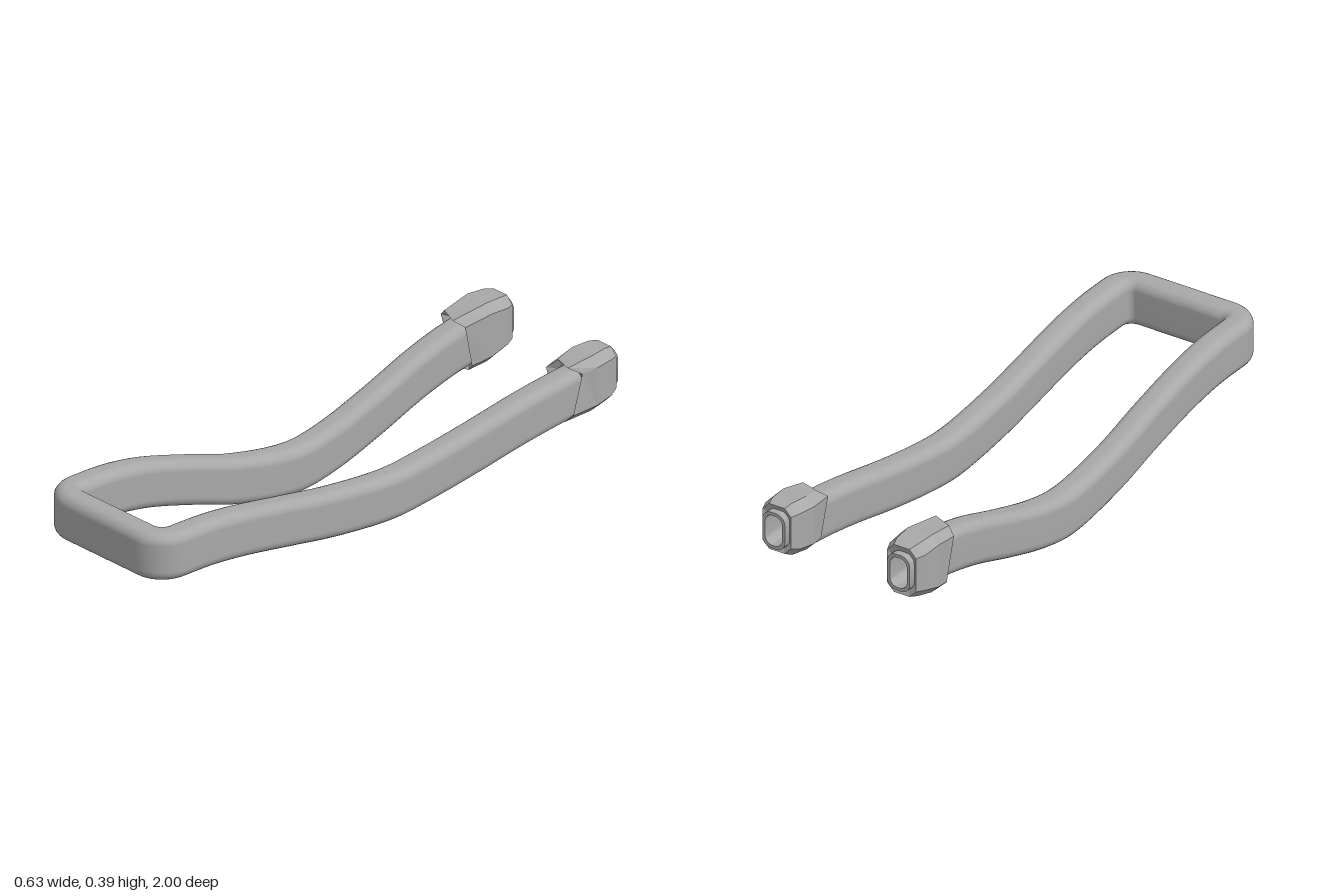
import * as THREE from 'three';
import { toCreasedNormals } from 'three/addons/utils/BufferGeometryUtils.js';

const V = (x, y, z) => new THREE.Vector3(x, y, z);

// Skin closed rings of points, ordered counterclockwise seen from ahead
function loft(rings) {
  const n = rings[0].length, index = [];
  for (let i = 0; i < rings.length - 1; i++) {
    for (let j = 0; j < n; j++) {
      const a = i * n + j, b = i * n + (j + 1) % n;
      index.push(a, b, b + n, a, b + n, a + n);
    }
  }
  const geo = new THREE.BufferGeometry().setFromPoints(rings.flat());
  geo.setIndex(index);
  geo.computeVertexNormals();
  return geo;
}

// Rounded rectangle outline, counterclockwise
function roundedRect(hw, hh, r, steps = 6) {
  const pts = [];
  [[1, 1], [-1, 1], [-1, -1], [1, -1]].forEach(([sx, sy], q) => {
    for (let k = 0; k <= steps; k++) {
      const a = (q + k / steps) * Math.PI / 2;
      pts.push([sx * (hw - r) + r * Math.cos(a), sy * (hh - r) + r * Math.sin(a)]);
    }
  });
  return pts;
}

// Chamfered rectangle outline, counterclockwise from lower right
const chamfered = (w, h, c) => [
  [w, c - h], [w, h - c], [w - c, h], [c - w, h],
  [-w, h - c], [-w, c - h], [c - w, -h], [w - c, -h],
];

// Centre line of one arm, from back to front: rows of z, |x|, y
function armPoints(side, rows) {
  const curve = new THREE.CatmullRomCurve3(rows.map(([z, x, y]) => V(side * x, y, z)));
  return curve.getPoints(48);
}

function strapGeometry() {
  const z = [-0.87, -0.75, -0.6, -0.4, -0.2, -0.05, 0.2, 0.4, 0.6, 0.75, 0.88];
  const x = [0.238, 0.236, 0.232, 0.226, 0.222, 0.222, 0.225, 0.229, 0.234, 0.235, 0.235];
  const yLeft = [0.258, 0.247, 0.227, 0.192, 0.164, 0.154, 0.18, 0.217, 0.255, 0.274, 0.279];
  const yRight = [0.275, 0.258, 0.223, 0.158, 0.102, 0.084, 0.128, 0.193, 0.25, 0.274, 0.279];
  const rows = (y) => z.map((v, i) => [v, x[i], y[i]]);
  const path = armPoints(-1, rows(yRight));
  const corner = (cx, from) => {
    for (let k = 1; k <= 10; k++) {
      const a = from - (k / 10) * Math.PI / 2;
      path.push(V(cx + 0.07 * Math.cos(a), 0.279, 0.88 + 0.07 * Math.sin(a)));
    }
  };
  corner(-0.165, Math.PI);
  path.push(V(-0.08, 0.279, 0.95), V(0, 0.279, 0.95), V(0.08, 0.279, 0.95), V(0.165, 0.279, 0.95));
  corner(0.165, Math.PI / 2);
  path.push(...armPoints(1, rows(yLeft)).reverse().slice(1));

  // Sections stay upright while following the path
  const outline = roundedRect(0.049, 0.083, 0.036);
  const rings = path.map((p, i) => {
    const t = path[Math.min(i + 1, path.length - 1)].clone().sub(path[Math.max(i - 1, 0)]);
    t.y = 0;
    t.normalize();
    const s = V(0, 1, 0).cross(t);
    return outline.map(([u, v]) => p.clone().addScaledVector(s, u).add(V(0, v, 0)));
  });
  return loft(rings);
}

// Hollow sleeve at the back end
function sleeveGeometry() {
  const ring = (hw, hh, r, z) => roundedRect(hw, hh, r).map(([u, v]) => V(u, v, z));
  return toCreasedNormals(loft([
    ring(0.0001, 0.0001, 0.00005, -0.885),
    ring(0.033, 0.054, 0.027, -0.885),
    ring(0.033, 0.054, 0.027, -1),
    ring(0.044, 0.065, 0.034, -1),
    ring(0.044, 0.065, 0.034, -0.95),
  ]), 0.7);
}

// Faceted cuff with a ragged front rim: half width, half height, chamfer, z, y shift
function cuffGeometry(sections, jag) {
  const rings = sections.map(([w, h, c, z, dy], i) =>
    chamfered(w, h, c).map(([u, v], j) => V(u, v + dy, z + (i === 4 ? jag[j] : 0))));
  const geo = loft(rings).toNonIndexed();
  geo.computeVertexNormals();
  return geo;
}

export function createModel() {
  const model = new THREE.Group();
  const grey = new THREE.MeshStandardMaterial({ color: 0xa8a8a8 });
  grey.name = 'grey';
  const add = (name, geo, x = 0, y = 0) => {
    const mesh = new THREE.Mesh(geo, grey);
    mesh.name = name;
    mesh.position.set(x, y, 0);
    model.add(mesh);
  };

  add('strap', strapGeometry());

  add('leftSleeve', sleeveGeometry(), 0.24, 0.29);
  add('leftCuff', cuffGeometry([
    [0.04, 0.06, 0.02, -0.972, 0],
    [0.055, 0.082, 0.025, -0.982, 0],
    [0.067, 0.094, 0.03, -0.95, -0.004],
    [0.074, 0.097, 0.03, -0.88, -0.01],
    [0.058, 0.094, 0.026, -0.81, -0.022],
    [0.045, 0.076, 0.024, -0.84, -0.03],
  ], [0.02, -0.02, 0.02, 0, 0.03, -0.01, 0.02, 0.035]), 0.24, 0.29);

  add('rightSleeve', sleeveGeometry(), -0.245, 0.29);
  add('rightCuff', cuffGeometry([
    [0.04, 0.06, 0.02, -0.972, 0],
    [0.056, 0.086, 0.026, -0.982, 0],
    [0.07, 0.094, 0.03, -0.95, 0],
    [0.073, 0.104, 0.028, -0.88, -0.006],
    [0.062, 0.1, 0.026, -0.79, -0.02],
    [0.045, 0.076, 0.024, -0.83, -0.02],
  ], [-0.01, 0.02, 0.05, 0.02, 0.01, -0.03, 0.01, -0.02]), -0.245, 0.29);

  return model;
}
